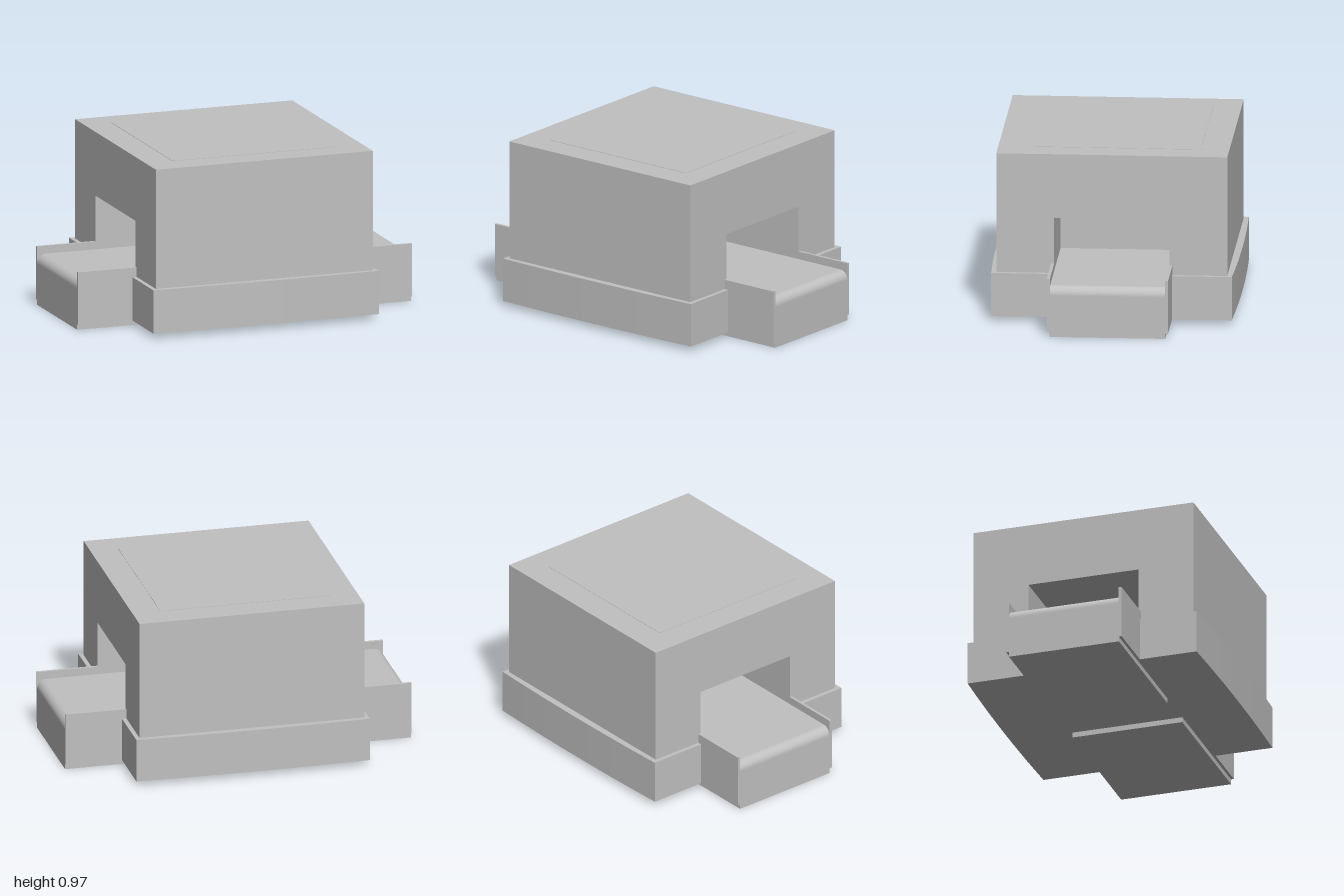
import * as THREE from 'three';

const grey = new THREE.MeshStandardMaterial({ color: 0xc0c0c0 });
grey.name = 'light grey';
grey.flatShading = true;

function add(parent, name, geometry) {
  const mesh = new THREE.Mesh(geometry, grey);
  mesh.name = name;
  parent.add(mesh);
  return mesh;
}

// box given by its minimum and maximum corners
function box(parent, name, [x0, y0, z0], [x1, y1, z1]) {
  const mesh = add(parent, name, new THREE.BoxGeometry(x1 - x0, y1 - y0, z1 - z0));
  mesh.position.set((x0 + x1) / 2, (y0 + y1) / 2, (z0 + z1) / 2);
  return mesh;
}

function extrude(shape, depth, curveSegments = 6) {
  return new THREE.ExtrudeGeometry(shape, { depth, bevelEnabled: false, curveSegments })
    .translate(0, 0, -depth / 2);
}

// base slab with gently bowed front and back
function makeBase(parent) {
  const w = 0.675, edge = 0.677, bow = 0.69, steps = 7;
  const points = [];
  for (const side of [1, -1]) {
    for (let i = 0; i <= steps; i++) {
      const t = 1 - (2 * i) / steps;
      points.push(new THREE.Vector2(side * w * t, side * (edge + (bow - edge) * (1 - t * t))));
    }
  }
  const geometry = extrude(new THREE.Shape(points), 0.25).rotateX(-Math.PI / 2);
  add(parent, 'base', geometry).position.y = 0.155;
}

// housing: an arch swept along x, with a wall closing the middle of the tunnel
function makeHousing(parent) {
  const arch = new THREE.Shape([
    [-0.65, 0.28], [-0.325, 0.28], [-0.325, 0.6], [0.325, 0.6],
    [0.325, 0.28], [0.65, 0.28], [0.65, 0.968], [-0.65, 0.968],
  ].map(([z, y]) => new THREE.Vector2(z, y)));
  add(parent, 'housing', extrude(arch, 1.3).rotateY(Math.PI / 2));
  box(parent, 'tunnelWall', [-0.13, 0.27, -0.325], [0.13, 0.6, 0.325]);
  box(parent, 'topPanel', [-0.49, 0.965, -0.49], [0.49, 0.97, 0.49]);
}

// conveyor with a rounded outer edge and two side rails
function makeConveyor() {
  const group = new THREE.Group();
  const profile = new THREE.Shape();
  profile.moveTo(0.13, 0);
  profile.lineTo(1, 0);
  profile.lineTo(1, 0.24);
  profile.absarc(0.95, 0.24, 0.05, 0, Math.PI / 2, false);
  profile.lineTo(0.13, 0.29);
  profile.closePath();
  add(group, 'belt', extrude(profile, 0.65));
  for (const s of [1, -1]) {
    box(group, 'sideRail', [0.64, 0.03, s * 0.3325 - 0.0085], [1, 0.335, s * 0.3325 + 0.0085]);
  }
  return group;
}

export function createModel() {
  const model = new THREE.Group();
  model.name = 'conveyorScanner';
  makeBase(model);
  makeHousing(model);
  for (const [name, turn] of [['leftConveyor', 0], ['rightConveyor', Math.PI]]) {
    const conveyor = makeConveyor();
    conveyor.name = name;
    conveyor.rotation.y = turn;
    model.add(conveyor);
  }
  return model;
}
